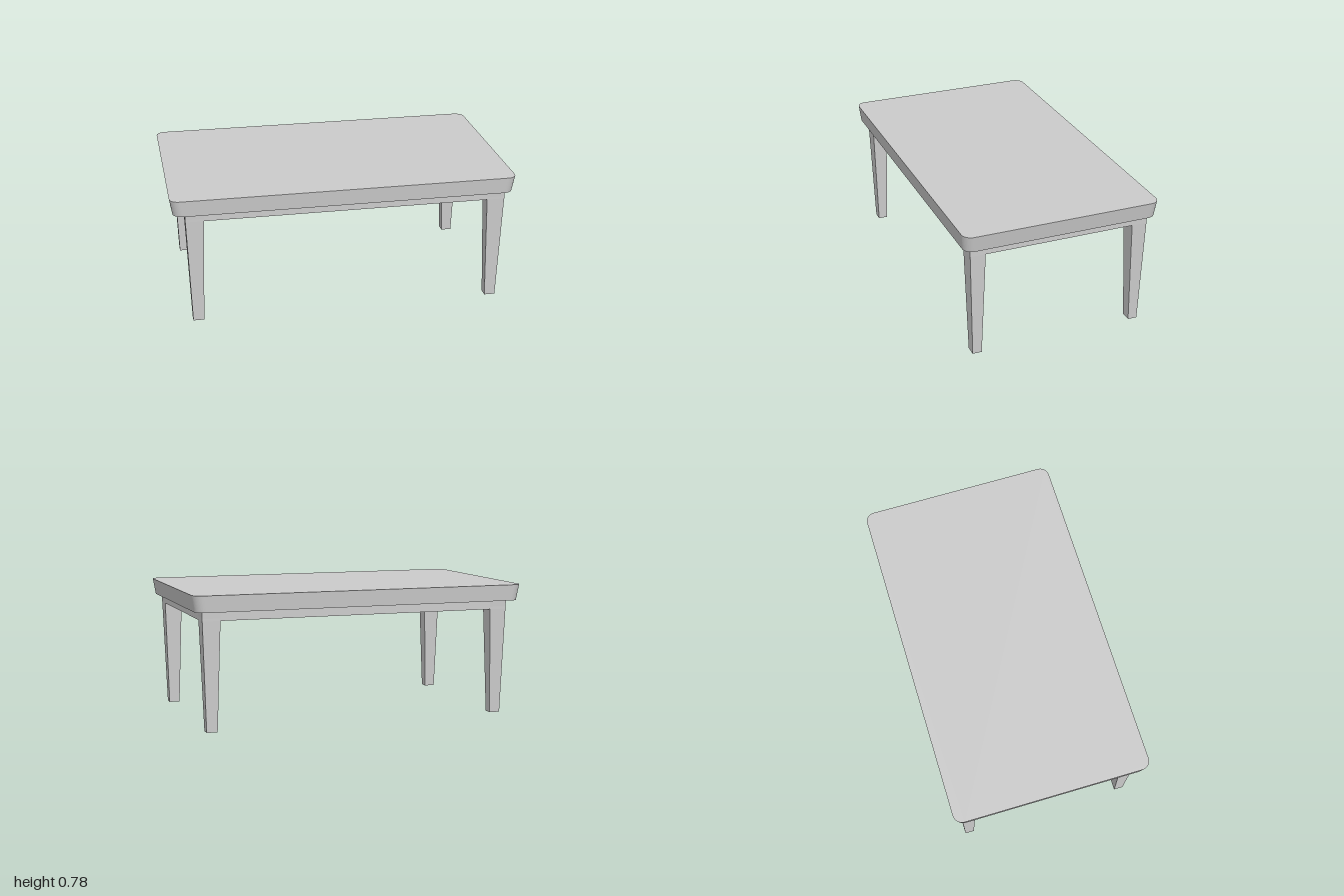
import * as THREE from 'three';

const material = new THREE.MeshStandardMaterial({ color: 0xcccccc, flatShading: true });
const APRON_BOTTOM = 0.63, TOP_BOTTOM = 0.682, TOP = 0.777;
const BASE_X = 0.0135; // the base sits slightly off centre

function part(name, geometry, x = 0, y = 0, z = 0) {
  const mesh = new THREE.Mesh(geometry, material);
  mesh.name = name;
  mesh.position.set(x, y, z);
  return mesh;
}

// Rounded slab whose edge slopes inward towards the underside
function tableTopGeometry() {
  const w = 1, d = 0.578, r = 0.055, height = TOP - TOP_BOTTOM;
  const s = new THREE.Shape();
  s.moveTo(-w + r, -d);
  s.absarc(w - r, -d + r, r, -Math.PI / 2, 0);
  s.absarc(w - r, d - r, r, 0, Math.PI / 2);
  s.absarc(-w + r, d - r, r, Math.PI / 2, Math.PI);
  s.absarc(-w + r, -d + r, r, Math.PI, Math.PI * 1.5);
  const g = new THREE.ExtrudeGeometry(s, { depth: height, bevelEnabled: false, curveSegments: 6 });
  g.rotateX(-Math.PI / 2);
  const p = g.attributes.position;
  for (let i = 0; i < p.count; i++) {
    const k = 0.984 + 0.016 * (p.getY(i) / height);
    p.setX(i, p.getX(i) * k);
    p.setZ(i, p.getZ(i) * k);
  }
  g.computeVertexNormals();
  return g;
}

// Square leg tapering on all four sides, mirrored by sx and sz
function legGeometry(sx, sz) {
  const g = new THREE.BoxGeometry(1, TOP_BOTTOM, 1);
  g.translate(0, TOP_BOTTOM / 2, 0);
  const p = g.attributes.position;
  for (let i = 0; i < p.count; i++) {
    const top = p.getY(i) > 0.1;
    const outerX = p.getX(i) * sx > 0, outerZ = p.getZ(i) * sz > 0;
    const x = top ? (outerX ? 0.931 : 0.824) : (outerX ? 0.909 : 0.846);
    const z = top ? (outerZ ? 0.529 : 0.437) : (outerZ ? 0.511 : 0.457);
    p.setX(i, x * sx);
    p.setZ(i, z * sz);
  }
  g.computeVertexNormals();
  return g;
}

export function createModel() {
  const model = new THREE.Group();
  model.name = 'table';
  model.add(part('tableTop', tableTopGeometry(), 0, TOP_BOTTOM, 0));

  // Solid apron block under the top
  const h = TOP_BOTTOM - APRON_BOTTOM;
  model.add(part('apron', new THREE.BoxGeometry(1.86, h, 1.056), BASE_X, APRON_BOTTOM + h / 2, 0));

  for (const [side, sx] of [['Left', 1], ['Right', -1]])
    for (const [end, sz] of [['front', 1], ['back', -1]])
      model.add(part(`${end}${side}Leg`, legGeometry(sx, sz), BASE_X, 0, 0));

  return model;
}
